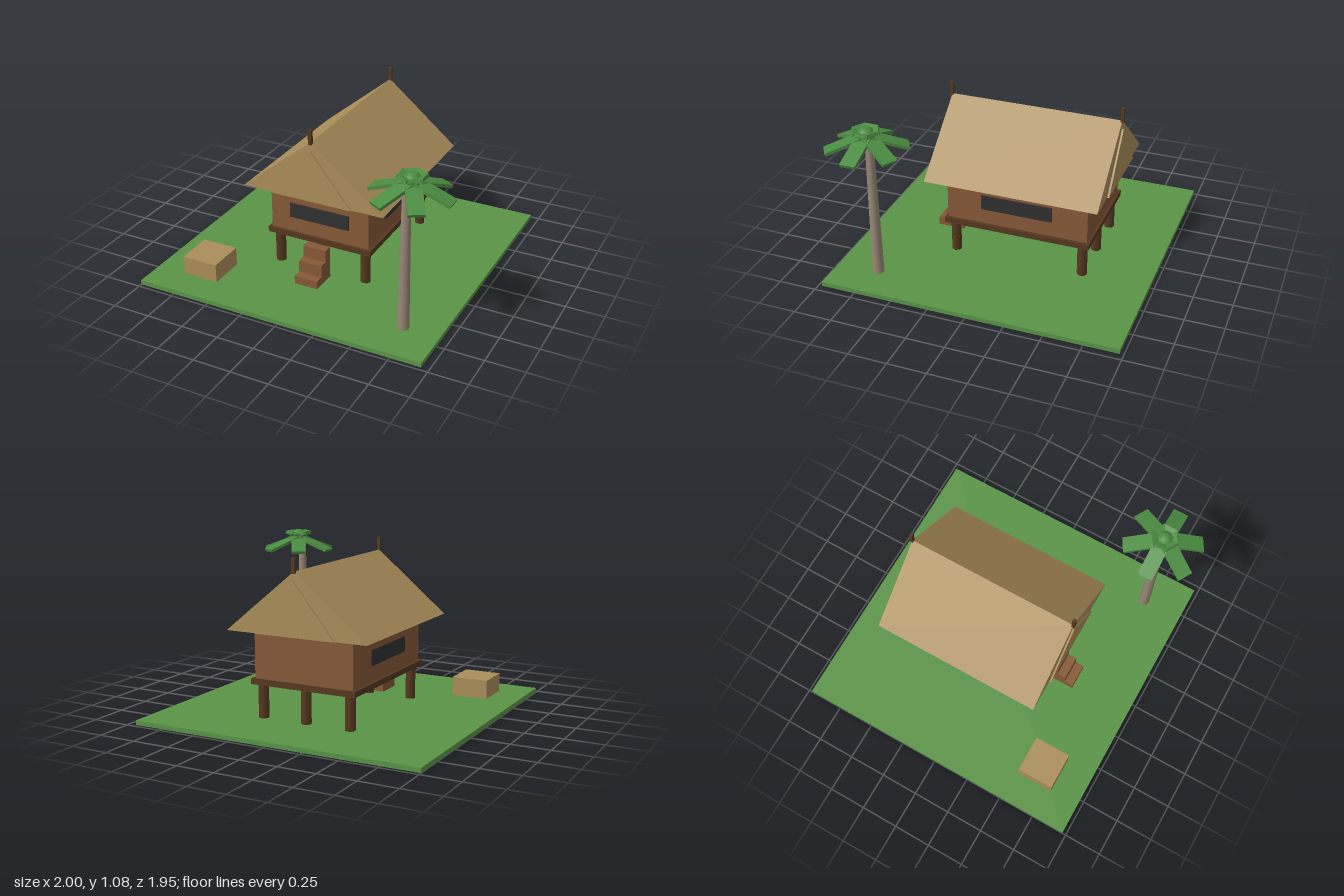
import * as THREE from 'three';

const material = (name, color) => {
  const m = new THREE.MeshStandardMaterial({ color });
  m.name = name;
  return m;
};

export function createModel() {
  const grass = material('grass', 0x5a9447);
  const frond = material('frond green', 0x4b8c41);
  const thatch = material('thatch', 0xab8e5a);
  const wood = material('wall wood', 0x865937);
  const darkWood = material('dark wood', 0x553820);
  const bark = material('bark', 0x998876);
  const glass = material('window dark', 0x303030);

  const model = new THREE.Group();
  const add = (parent, name, geometry, mat, x, y, z) => {
    const mesh = new THREE.Mesh(geometry, mat);
    mesh.name = name;
    mesh.position.set(x, y, z);
    parent.add(mesh);
    return mesh;
  };
  const box = (w, h, d) => new THREE.BoxGeometry(w, h, d);

  // Triangular prism standing on y = 0, centred on z
  const prism = (halfWidth, height, depth) => {
    const s = new THREE.Shape();
    s.moveTo(-halfWidth, 0);
    s.lineTo(halfWidth, 0);
    s.lineTo(0, height);
    s.closePath();
    return new THREE.ExtrudeGeometry(s, { depth, bevelEnabled: false }).translate(0, 0, -depth / 2);
  };

  // Ground slab
  add(model, 'ground', box(1.95, 0.03, 1.95), grass, -0.025, 0.015, 0);

  // House, centred on its own axes
  const house = new THREE.Group();
  house.name = 'house';
  house.position.set(-0.025, 0, -0.1);
  model.add(house);

  // Stilts: three at the front, three at the back
  for (const z of [-0.432, 0.432])
    for (const x of [-0.308, 0, 0.308])
      add(house, 'stilt', new THREE.CylinderGeometry(0.034, 0.034, 0.25, 8), darkWood, x, 0.13, z);

  add(house, 'floorPlatform', box(0.732, 0.037, 0.976), darkWood, 0, 0.269, 0);
  add(house, 'walls', box(0.69, 0.315, 0.94), wood, 0, 0.4425, 0);

  // Windows on the front and both sides
  add(house, 'frontWindow', box(0.416, 0.1, 0.0095), glass, 0, 0.442, 0.4747);
  for (const side of [-1, 1])
    add(house, 'sideWindow', box(0.0095, 0.1, 0.474), glass, side * 0.3497, 0.442, 0);

  // Roof with a thin gable panel and ridge post at each end
  add(house, 'roof', prism(0.486, 0.4, 1.138), thatch, 0, 0.598, 0);
  for (const end of [-1, 1]) {
    add(house, 'gablePanel', prism(0.276, 0.341, 0.012), thatch, 0, 0.598, end * 0.575);
    add(house, 'ridgePost', box(0.023, 0.098, 0.021), darkWood, 0, 1.034, end * 0.571);
  }

  // Solid steps rising toward the platform
  for (let i = 0; i < 3; i++) {
    const h = 0.055 + i * 0.08;
    add(house, 'step', box(0.16, h, 0.06), wood, 0, 0.03 + h / 2, 0.632 - i * 0.06);
  }

  // Crate
  add(model, 'crate', box(0.244, 0.125, 0.244), thatch, -0.678, 0.0925, 0.655);

  // Palm tree
  const palm = new THREE.Group();
  palm.name = 'palmTree';
  palm.position.set(0.711, 0, 0.697);
  model.add(palm);
  add(palm, 'trunk', new THREE.CylinderGeometry(0.026, 0.038, 0.97, 10), bark, 0, 0.505, 0);

  // Crown: six drooping fronds crossing over the centre, with a round heart
  const crown = new THREE.Group();
  crown.name = 'crown';
  crown.position.set(0.032, 0.994, 0);
  palm.add(crown);
  for (let i = 0; i < 6; i++) {
    const pivot = new THREE.Group();
    pivot.name = 'frond';
    pivot.rotation.y = (i * Math.PI) / 3;
    crown.add(pivot);
    add(pivot, 'frondBlade', box(0.35, 0.02, 0.1), frond, 0.0865, 0, 0).rotation.z = -0.35;
  }
  add(crown, 'crownHeart', new THREE.SphereGeometry(0.06, 12, 8), frond, 0, 0.022, 0);

  return model;
}
